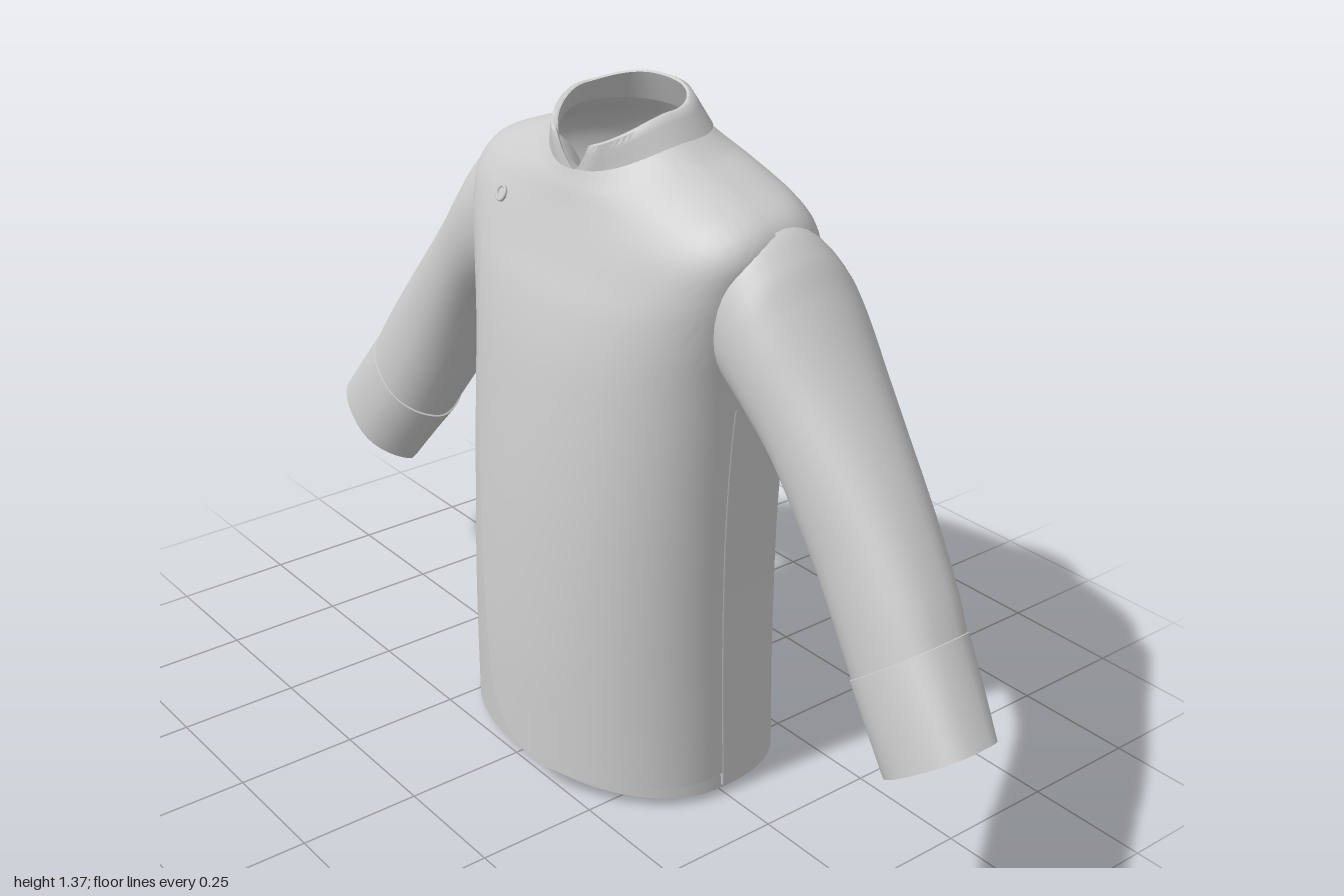
import * as THREE from 'three';
import { toCreasedNormals } from 'three/addons/utils/BufferGeometryUtils.js';

const { lerp, clamp } = THREE.MathUtils;
const cloth = new THREE.MeshStandardMaterial({ color: 0xcccccc, side: THREE.DoubleSide });

// Smooth interpolation between the rows of a table
function sample(table, t) {
  const last = table.length - 1;
  const i = Math.min(Math.floor(clamp(t, 0, last)), last - 1);
  const f = clamp(t, 0, last) - i;
  const row = (k) => table[clamp(k, 0, last)];
  return table[0].map((_, k) => {
    const p0 = row(i)[k], p1 = row(i + 1)[k];
    const m0 = (p1 - row(i - 1)[k]) / 2, m1 = (row(i + 2)[k] - p0) / 2;
    const f2 = f * f, f3 = f2 * f;
    return (2 * f3 - 3 * f2 + 1) * p0 + (f3 - 2 * f2 + f) * m0 + (3 * f2 - 2 * f3) * p1 + (f3 - f2) * m1;
  });
}

// Surface over a grid of points, optionally closed around the columns
function loft(cols, rows, closed, point) {
  const pos = [], index = [];
  const n = closed ? cols : cols + 1;
  for (let j = 0; j <= rows; j++)
    for (let i = 0; i < n; i++) pos.push(...point(i, j).toArray());
  for (let j = 0; j < rows; j++)
    for (let i = 0; i < cols; i++) {
      const a = j * n + i, b = j * n + ((i + 1) % n);
      index.push(a, a + n, b, b, a + n, b + n);
    }
  const g = new THREE.BufferGeometry();
  g.setAttribute('position', new THREE.Float32BufferAttribute(pos, 3));
  g.setIndex(index);
  g.computeVertexNormals();
  return g;
}

function mesh(name, geometry) {
  const m = new THREE.Mesh(geometry, cloth);
  m.name = name;
  return m;
}

const power = (v, e) => Math.sign(v) * Math.abs(v) ** e;

// Point on a rounded ring; angle 0 is the left side, PI / 2 the front
function ringPoint([ys, yf, yb, w, zf, zb, zc, xc, nf, nb], a) {
  const c = Math.cos(a), s = Math.sin(a);
  const e = 2 / (s > 0 ? nf : nb);
  return new THREE.Vector3(
    xc + w * power(c, e),
    ys + ((s > 0 ? yf : yb) - ys) * Math.abs(s) ** 1.5,
    zc + (s > 0 ? zf - zc : zc - zb) * power(s, e));
}

// Torso rings: side, front and back height, half width, front z, back z,
// middle z, middle x, front and back squareness
const TORSO = [
  [0.01, 0.015, 0.0, 0.35, 0.246, -0.27, 0, 0.012, 2.1, 2.5],
  [0.3, 0.3, 0.3, 0.338, 0.254, -0.271, 0, 0.012, 2.1, 2.5],
  [0.6, 0.6, 0.6, 0.337, 0.241, -0.277, 0, 0.012, 2.15, 2.5],
  [0.85, 0.85, 0.85, 0.35, 0.208, -0.285, -0.01, 0.008, 2.3, 2.8],
  [0.98, 0.98, 0.98, 0.373, 0.178, -0.285, -0.03, 0.004, 2.6, 3.4],
  [1.08, 1.06, 1.08, 0.397, 0.148, -0.272, -0.045, 0, 2.9, 3.6],
  [1.148, 1.12, 1.16, 0.41, 0.126, -0.248, -0.05, 0, 2.8, 3.2],
  [1.198, 1.16, 1.21, 0.383, 0.112, -0.225, -0.05, 0, 2.4, 2.7],
  [1.234, 1.19, 1.25, 0.3, 0.103, -0.203, -0.045, 0, 2.15, 2.5],
  [1.264, 1.208, 1.28, 0.217, 0.096, -0.182, -0.04, 0, 2.1, 2.4],
  [1.295, 1.225, 1.302, 0.162, 0.09, -0.165, -0.04, 0, 2.1, 2.4],
];
const COLLAR_TOP = [1.345, 1.278, 1.37, 0.13, 0.1, -0.13, -0.03, 0, 2.1, 2.3];

function torsoPoint(a, v) {
  const p = ringPoint(sample(TORSO, v), a);
  // Shallow hollow between the shoulder blades
  if (Math.sin(a) < 0) p.z += 0.02 * Math.exp(-((p.x / 0.09) ** 2) - ((p.y - 0.97) / 0.25) ** 2);
  return p;
}

// Bisection for a function that rises from negative to positive
function solve(lo, hi, f) {
  for (let k = 0; k < 30; k++) {
    const m = (lo + hi) / 2;
    if (f(m) < 0) lo = m; else hi = m;
  }
  return (lo + hi) / 2;
}

// Slanted opening edge with a rounded lower corner
function edgeX(y) {
  const d = clamp((0.18 - y) / 0.13, 0, 1);
  return -0.243 + (1.17 - y) * 0.213 + 0.13 * (1 - Math.sqrt(1 - d * d));
}

// Panel surface lifted off the torso
function panelPoint(a, v, lift) {
  const p = torsoPoint(a, v);
  const s = Math.max(0, Math.sin(a));
  const up = clamp((v - 5) / 4, 0, 1) * 0.8;
  const out = new THREE.Vector3(Math.cos(a), up, Math.sin(a)).normalize();
  const gap = 0.003 + 0.007 * s + 0.034 * s * clamp(1 - p.y / 0.7, 0, 1) ** 1.5;
  return p.addScaledVector(out, lift ? gap : -0.003);
}

// Overlapping front panel, with its rim turned down onto the torso
function frontPanel() {
  const N = 44, M = 60;
  const vBottom = solve(0, 1, (v) => torsoPoint(Math.PI / 2, v).y - 0.05);
  return loft(N + 2, M + 2, false, (i, j) => {
    const ii = clamp(i - 1, 0, N), jj = clamp(j - 1, 0, M);
    const s = 1 - ii / N, r = (jj / M) ** 1.6;
    const vEdge = lerp(vBottom, 7, r);
    const aEdge = solve(0.6, 3, (a) => {
      const p = torsoPoint(a, vEdge);
      return edgeX(p.y) - p.x;
    });
    const v = lerp(vBottom, 7 + 3 * Math.min(1, s / 0.32), r);
    return panelPoint(lerp(aEdge, 0, s), v, ii === i - 1 && jj === j - 1);
  });
}

// Stand-up collar with wall thickness and a V notch at the front
function collar() {
  const N = 64, base = sample(TORSO, 10);
  const profile = [[0, 1], [0.35, 1], [0.7, 1], [0.95, 0.9], [1, 0], [0.95, -0.9], [0.6, -1], [0, -1], [0, 1]];
  return loft(N, profile.length - 1, false, (i, j) => {
    const [h, side] = profile[j];
    const notch = lerp(0.03, 0.36, h);
    const a = Math.PI / 2 + lerp(notch, 2 * Math.PI - notch, i / N);
    const p = ringPoint(base, a).lerp(ringPoint(COLLAR_TOP, a), h);
    const thick = 0.007 * Math.min(1, i / 2, (N - i) / 2) * side;
    return p.add(new THREE.Vector3(Math.cos(a) * thick, 0, Math.sin(a) * thick));
  });
}

// Sleeve rings: top x, y, bottom x, y, front z, back z, underside pinch
const SLEEVE = [
  [0.3, 1.15, 0.27, 0.93, 0.03, -0.16, 0.93],
  [0.385, 1.186, 0.32, 0.89, 0.055, -0.205, 0.93],
  [0.447, 1.15, 0.37, 0.86, 0.064, -0.226, 0.93],
  [0.5, 1.085, 0.425, 0.82, 0.064, -0.228, 0.95],
  [0.59, 0.97, 0.49, 0.75, 0.055, -0.21, 1],
  [0.74, 0.793, 0.58, 0.61, 0.048, -0.178, 1.1],
  [0.84, 0.66, 0.645, 0.51, 0.052, -0.155, 1.2],
  [0.89, 0.58, 0.705, 0.42, 0.056, -0.136, 1.25],
];
const CUFF = [
  [0.883, 0.587, 0.698, 0.435, 0.053, -0.136, 1.2],
  [0.889, 0.589, 0.694, 0.43, 0.058, -0.142, 1.2],
  [0.945, 0.512, 0.747, 0.36, 0.065, -0.122, 1.35],
  [1.0, 0.437, 0.8, 0.288, 0.07, -0.1, 1.5],
  [0.996, 0.435, 0.804, 0.293, 0.066, -0.096, 1.5],
  [0.94, 0.51, 0.753, 0.368, 0.06, -0.117, 1.35],
];

function tube(table, rows, side) {
  return loft(40, rows, true, (i, j) => {
    const [tx, ty, bx, by, zf, zb, pinch] = sample(table, (j / rows) * (table.length - 1));
    const a = (i / 40) * Math.PI * 2;
    const k = 0.5 + 0.5 * power(Math.cos(a), 0.93);
    const e = Math.cos(a) < 0 ? pinch : 0.93 / pinch;
    return new THREE.Vector3(side * lerp(bx, tx, k), lerp(by, ty, k),
      (zf + zb) / 2 + ((zf - zb) / 2) * power(Math.sin(a), e));
  });
}

export function createModel() {
  const jacket = new THREE.Group();
  jacket.name = 'jacket';

  jacket.add(mesh('torso', loft(80, 60, true, (i, j) => torsoPoint((i / 80) * Math.PI * 2, j / 6))));
  jacket.add(mesh('frontPanel', toCreasedNormals(frontPanel(), 0.7)));
  jacket.add(mesh('collar', toCreasedNormals(collar(), 0.9)));

  for (const side of [1, -1]) {
    const label = side > 0 ? 'left' : 'right';
    jacket.add(mesh(label + 'Sleeve', tube(SLEEVE, 56, side)));
    jacket.add(mesh(label + 'Cuff', toCreasedNormals(tube(CUFF, 5, side), 0.7)));

    // Raised side seam from hem to armpit
    const points = [];
    for (let k = 0; k <= 12; k++) points.push(torsoPoint(side > 0 ? 0 : Math.PI, 0.05 + k * 0.24));
    jacket.add(mesh(label + 'SideSeam', new THREE.TubeGeometry(new THREE.CatmullRomCurve3(points), 36, 0.004, 6)));
  }

  // Button near the top corner of the panel
  const button = new THREE.Group();
  button.name = 'button';
  const disc = mesh('buttonDisc', new THREE.CylinderGeometry(0.016, 0.017, 0.006, 24));
  disc.rotation.x = Math.PI / 2;
  const rim = mesh('buttonRim', new THREE.TorusGeometry(0.014, 0.003, 8, 24));
  rim.position.z = 0.003;
  button.add(disc, rim);
  const v = 6.25;
  const a = solve(1.6, 3, (t) => -0.185 - torsoPoint(t, v).x);
  const at = (da, dv) => panelPoint(a + da, v + dv, true);
  const normal = at(0, 0.1).sub(at(0, -0.1)).cross(at(0.05, 0).sub(at(-0.05, 0))).normalize();
  if (normal.z < 0) normal.negate();
  button.position.copy(at(0, 0));
  button.quaternion.setFromUnitVectors(new THREE.Vector3(0, 0, 1), normal);
  jacket.add(button);

  return jacket;
}
